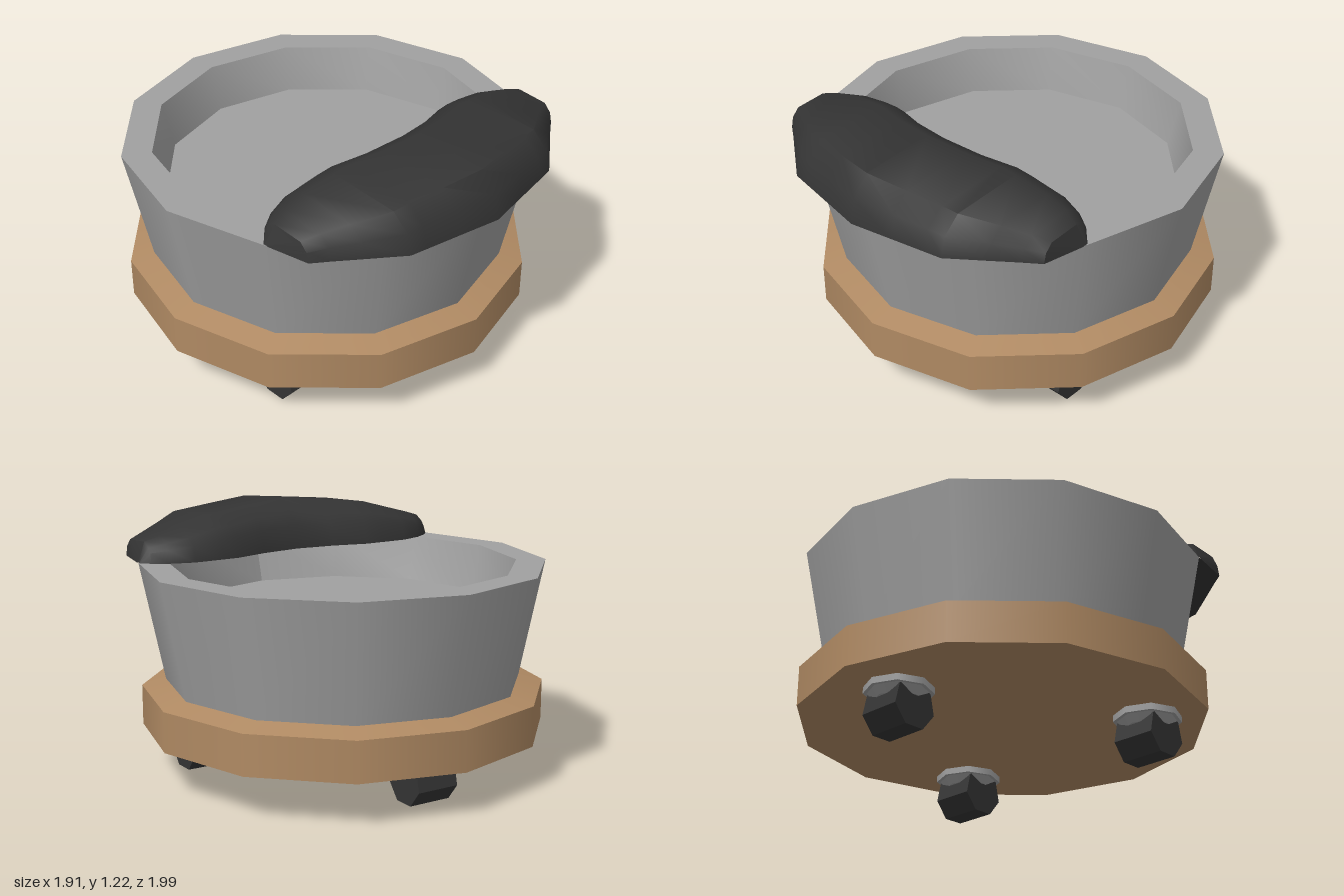
import * as THREE from 'three';
import { toCreasedNormals } from 'three/addons/utils/BufferGeometryUtils.js';

const grey = new THREE.MeshStandardMaterial({ color: 0xa0a0a0 });
grey.name = 'metalGrey';
const brown = new THREE.MeshStandardMaterial({ color: 0xb08a63 });
brown.name = 'woodBrown';
const black = new THREE.MeshStandardMaterial({ color: 0x343434 });
black.name = 'rubberBlack';

const SIDES = 12;
const CENTRE_Z = -0.045;

function add(parent, name, geometry, material, x = 0, y = 0, z = 0) {
  const mesh = new THREE.Mesh(geometry, material);
  mesh.name = name;
  mesh.position.set(x, y, z);
  parent.add(mesh);
  return mesh;
}

// Tapered drum between two heights
function drum(rTop, rBottom, y0, y1, sides = SIDES, open = false) {
  return new THREE.CylinderGeometry(rTop, rBottom, y1 - y0, sides, 1, open).translate(0, (y0 + y1) / 2, 0);
}

// Half-moon cushion: cross-sections swept from right to left
function cushionGeometry() {
  // x, front z, back z, height
  const half = [
    [0, 0.99, 0.37, 0.23], [0.2, 0.952, 0.345, 0.213], [0.37, 0.92, 0.3, 0.198],
    [0.45, 0.905, 0.3, 0.19], [0.6, 0.79, 0.3, 0.148], [0.71, 0.705, 0.335, 0.118],
    [0.785, 0.65, 0.383, 0.095], [0.825, 0.45, 0.425, 0.002],
  ];
  const stations = [...half.slice(1).reverse().map(([x, ...r]) => [-x, ...r]), ...half];
  // inset from the front edge (fraction of depth), height fraction
  const section = [[0, 0], [0.04, 0.5], [0.17, 0.89], [0.74, 1], [0.9, 0.74], [0.975, 0.5], [1, 0]];
  const n = section.length;
  const positions = [];
  const index = [];
  for (const [x, front, back, h] of stations)
    for (const [d, v] of section) positions.push(x, 0.985 + h * v, front + (back - front) * d);
  for (let i = 0; i < stations.length - 1; i++)
    for (let j = 0; j < n; j++) {
      const a = i * n + j, b = i * n + (j + 1) % n;
      index.push(a, a + n, b, b, a + n, b + n);
    }
  const g = new THREE.BufferGeometry();
  g.setAttribute('position', new THREE.Float32BufferAttribute(positions, 3));
  g.setIndex(index);
  return toCreasedNormals(g, 0.75);
}

export function createModel() {
  const model = new THREE.Group();
  model.name = 'wheeledTub';

  // Wooden base with a shallow sloped top
  const base = new THREE.Group();
  base.name = 'base';
  base.position.z = CENTRE_Z;
  model.add(base);
  add(base, 'basePlate', drum(0.955, 0.955, 0.21, 0.4), brown);
  add(base, 'baseBevel', drum(0.842, 0.955, 0.4, 0.43, SIDES, true), brown);

  // Tub: outer wall, flat rim, inner wall and floor
  const tub = new THREE.Group();
  tub.name = 'tub';
  tub.position.z = CENTRE_Z;
  model.add(tub);
  add(tub, 'outerWall', drum(0.955, 0.842, 0.43, 0.985, SIDES, true), grey);
  const ring = new THREE.RingGeometry(0.815, 0.955, SIDES).rotateX(-Math.PI / 2);
  add(tub, 'rim', ring, grey, 0, 0.985, 0);
  const inner = drum(0.815, 0.76, 0.77, 0.985, SIDES, true);
  // turn the inner wall to face inwards
  const idx = inner.index;
  for (let i = 0; i < idx.count; i += 3) {
    const a = idx.getX(i);
    idx.setX(i, idx.getX(i + 1));
    idx.setX(i + 1, a);
  }
  inner.computeVertexNormals();
  add(tub, 'innerWall', inner, grey);
  add(tub, 'floor', new THREE.CircleGeometry(0.76, SIDES).rotateX(-Math.PI / 2), grey, 0, 0.77, 0);

  // Cushion over the front of the rim
  add(model, 'cushion', cushionGeometry(), black);

  // Three casters, evenly spaced
  for (let k = 0; k < 3; k++) {
    const angle = Math.PI / 6 + (k * Math.PI * 2) / 3;
    const caster = new THREE.Group();
    caster.name = 'caster' + (k + 1);
    caster.position.set(Math.cos(angle) * 0.665, 0, CENTRE_Z + Math.sin(angle) * 0.665 + 0.02);
    model.add(caster);
    add(caster, 'casterPlate', drum(0.157, 0.157, 0.18, 0.215, 8), grey);
    add(caster, 'casterHub', drum(0.14, 0.112, 0.145, 0.18, 8), grey);
    // lying cylinder with a flat side on the ground
    const wheel = new THREE.CylinderGeometry(0.115, 0.115, 0.21, 7);
    wheel.rotateX(-Math.PI / 2).rotateY(Math.PI / 2);
    wheel.computeBoundingBox();
    const { min, max } = wheel.boundingBox;
    if (max.y < -min.y) wheel.rotateX(Math.PI);
    add(caster, 'wheel', toCreasedNormals(wheel, 0.6), black, 0, 0.1036, 0);
  }
  return model;
}
